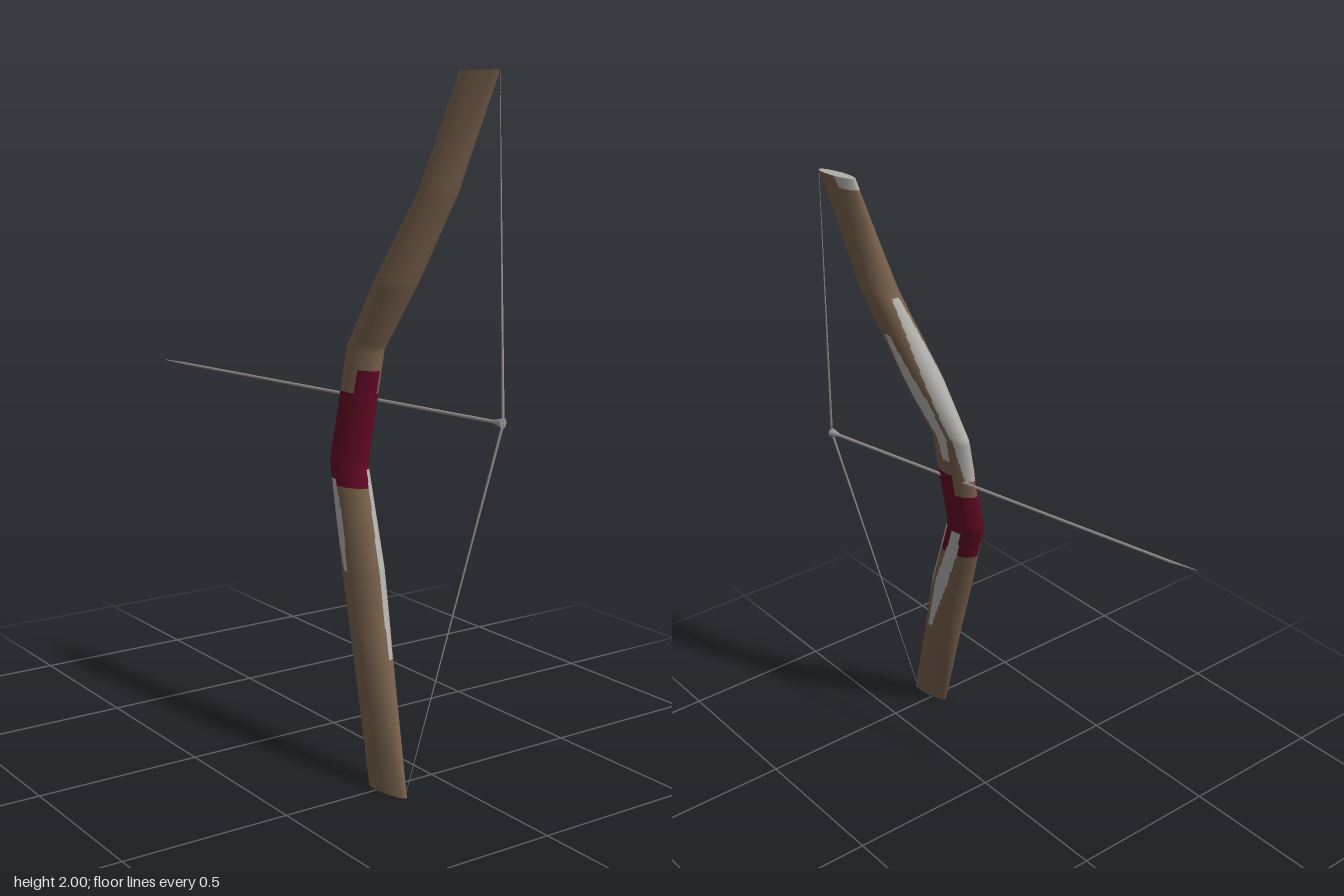
import * as THREE from 'three';

const mat = (name, color) => {
  const m = new THREE.MeshStandardMaterial({ color });
  m.name = name;
  return m;
};

// Horizontal cross-sections of the bow: y, centre x, centre z, half depth, half width
const RINGS = [
  [0, -0.175, 0.525, 0.071, 0.018],
  [0.4, -0.128, 0.376, 0.070, 0.043],
  [0.6, -0.108, 0.305, 0.076, 0.044],
  [0.88, -0.077, 0.192, 0.067, 0.041],
  [1.21, -0.015, 0.186, 0.069, 0.034],
  [1.4, 0.03, 0.267, 0.076, 0.048],
  [1.66, 0.1, 0.371, 0.066, 0.046],
  [2, 0.17, 0.463, 0.071, 0.018],
];
const YAW = 0.19;
const SIDES = 90, ROWS = 240;

// Linear interpolation in a table whose rows start with y
function sample(rows, y) {
  let k = 0;
  while (k < rows.length - 2 && y > rows[k + 1][0]) k++;
  const a = rows[k], b = rows[k + 1], t = (y - a[0]) / (b[0] - a[0]);
  return a.map((v, i) => v + (b[i] - v) * t);
}

// Angle 0 is the front edge, 90 the left side (+x), 180 the back edge
function sectionPoint(y, angle) {
  const [, cx, cz, A, B] = sample(RINGS, y);
  const f = A * Math.cos(angle), s = B * Math.sin(angle);
  return [cx + f * Math.sin(YAW) + s * Math.cos(YAW), y, cz + f * Math.cos(YAW) - s * Math.sin(YAW)];
}

// Pale worn patches, each as rows of y, first angle, last angle
const PATCHES = [
  [[0.36, -8, 15], [0.6, -14, 40], [0.76, -6, 42], [0.87, 0, 46]],
  [[0.38, 54, 72], [0.6, 56, 98], [0.78, 70, 108], [0.86, 74, 102]],
  [[0.58, 238, 250], [0.72, 214, 258], [0.83, 206, 246]],
  [[1.13, 76, 98], [1.33, 56, 108], [1.53, 72, 90]],
  [[1.07, 140, 190], [1.24, 114, 210], [1.42, 128, 208], [1.65, 155, 185]],
  [[1.97, 100, 200], [2, 90, 205]],
];

// 0 wood, 1 grip, 2 pale patch
function paint(y, deg) {
  const d = deg > 300 ? deg - 360 : deg;
  for (const rows of PATCHES) {
    if (y < rows[0][0] || y > rows[rows.length - 1][0]) continue;
    const [, first, last] = sample(rows, y);
    if (d > first && d < last) return 2;
  }
  const top = deg > 280 ? 1.15 : deg < 100 ? 1.08 : deg < 190 ? 1.01 : 1.08;
  const bottom = deg > 15 && deg < 190 ? 0.755 : 0.82;
  return y > bottom && y < top ? 1 : 0;
}

function bowGeometry() {
  const pos = [], faces = [[], [], []];
  for (let j = 0; j <= ROWS; j++)
    for (let i = 0; i < SIDES; i++)
      pos.push(...sectionPoint(2 * j / ROWS, i / SIDES * Math.PI * 2));
  for (let j = 0; j < ROWS; j++)
    for (let i = 0; i < SIDES; i++) {
      const n = (i + 1) % SIDES;
      const a = j * SIDES + i, b = j * SIDES + n, c = b + SIDES, d = a + SIDES;
      faces[paint(2 * (j + 0.5) / ROWS, (i + 0.5) / SIDES * 360)].push(a, b, c, a, c, d);
    }
  const g = new THREE.BufferGeometry();
  g.setAttribute('position', new THREE.Float32BufferAttribute(pos, 3));
  g.setIndex(faces.flat());
  let start = 0;
  faces.forEach((f, m) => { g.addGroup(start, f.length, m); start += f.length; });
  g.computeVertexNormals();
  return g;
}

function capGeometry(y) {
  const [, cx, cz] = sample(RINGS, y);
  const pos = [cx, y, cz], idx = [];
  for (let i = 0; i < SIDES; i++) {
    pos.push(...sectionPoint(y, i / SIDES * Math.PI * 2));
    const a = i + 1, b = (i + 1) % SIDES + 1;
    idx.push(0, ...(y > 1 ? [a, b] : [b, a]));
  }
  const g = new THREE.BufferGeometry();
  g.setAttribute('position', new THREE.Float32BufferAttribute(pos, 3));
  g.setIndex(idx);
  g.computeVertexNormals();
  return g;
}

// Tapered rod from p to q
function rod(name, p, q, rp, rq, material) {
  const dir = q.clone().sub(p);
  const m = new THREE.Mesh(new THREE.CylinderGeometry(rq, rp, dir.length(), 8), material);
  m.position.copy(p).add(q).multiplyScalar(0.5);
  m.quaternion.setFromUnitVectors(new THREE.Vector3(0, 1, 0), dir.normalize());
  m.name = name;
  return m;
}

export function createModel() {
  const wood = mat('wood brown', 0x765f4b);
  const red = mat('grip red', 0x5e0722);
  const pale = mat('pale grey', 0xb0aeaa);
  const grey = mat('string grey', 0x969290);
  const model = new THREE.Group();
  model.name = 'bowAndArrow';
  const add = (name, geometry, material) => {
    const m = new THREE.Mesh(geometry, material);
    m.name = name;
    model.add(m);
  };

  // Bow with grip and worn patches, closed at both tips
  add('bow', bowGeometry(), [wood, red, pale]);
  add('topCap', capGeometry(2), pale);
  add('bottomCap', capGeometry(0), wood);

  // Drawn string
  const nock = new THREE.Vector3(0.08, 1.055, 0.695);
  model.add(rod('upperString', nock, new THREE.Vector3(0.186, 1.99, 0.531), 0.004, 0.0007, grey));
  model.add(rod('lowerString', nock, new THREE.Vector3(-0.163, 0.01, 0.592), 0.004, 0.0007, grey));

  // Arrow shaft, point and nock
  const neck = new THREE.Vector3(-0.172, 1.077, -0.61);
  const tip = new THREE.Vector3(-0.193, 1.08, -0.697);
  model.add(rod('arrowShaft', nock, neck, 0.0055, 0.0045, grey));
  model.add(rod('arrowPoint', neck, tip, 0.0045, 0.001, grey));
  model.add(rod('arrowNock', nock, nock.clone().lerp(neck, 0.025), 0.015, 0.0055, grey));
  return model;
}
